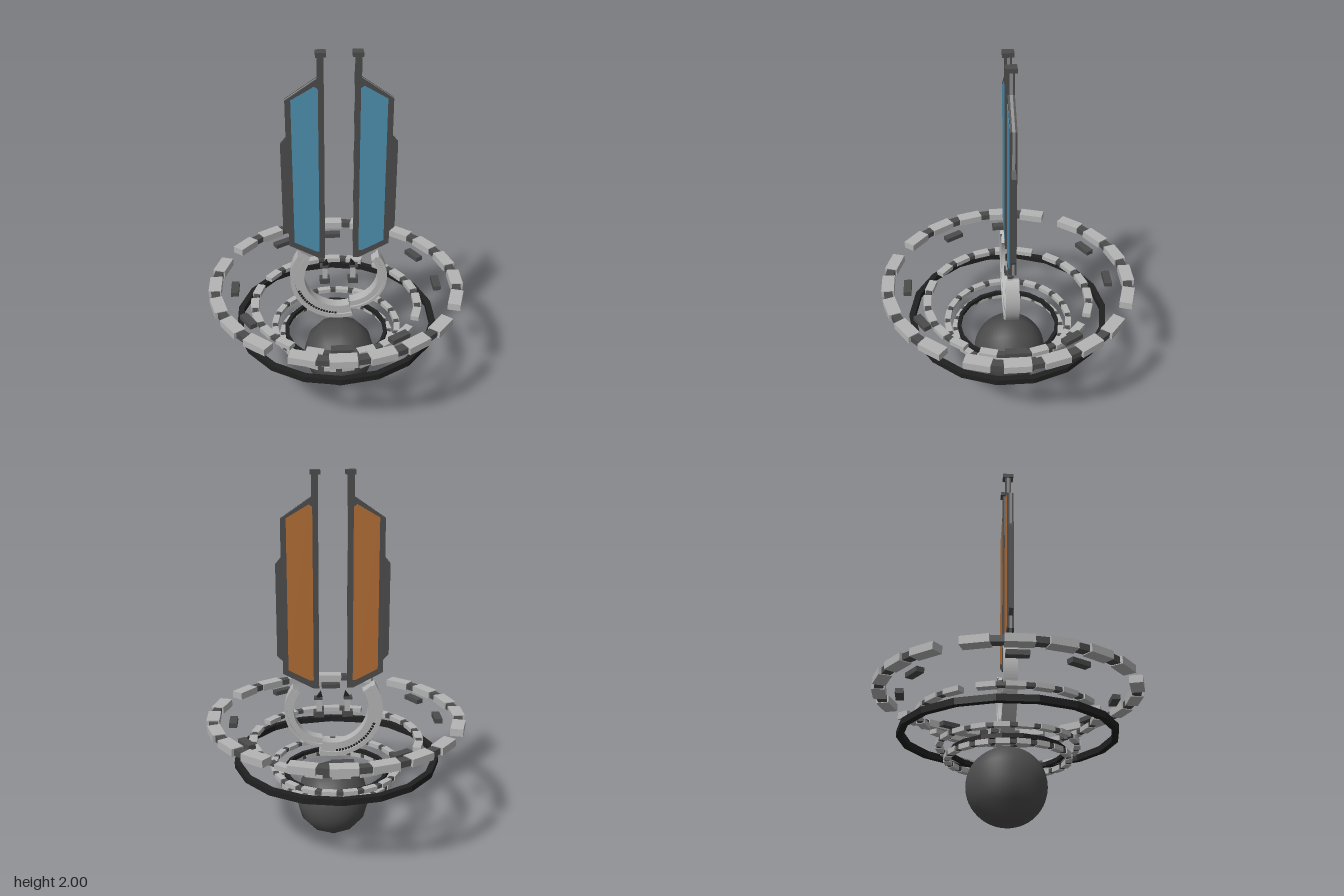
import * as THREE from 'three';
import { toCreasedNormals } from 'three/addons/utils/BufferGeometryUtils.js';

const mat = (name, color) => {
  const m = new THREE.MeshStandardMaterial({ color });
  m.name = name;
  return m;
};

export function createModel() {
  const light = mat('lightGrey', 0xb4b4b4);
  const mid = mat('midGrey', 0x8c8c8c);
  const dark = mat('darkGrey', 0x4b4b4b);
  const black = mat('black', 0x202020);
  const blue = mat('blue', 0x4c8fae);
  const orange = mat('orange', 0xb06c34);

  const model = new THREE.Group();
  model.name = 'ringedStation';
  const CX = 0.016, CZ = -0.006; // axis of the core, arc and panels

  const add = (parent, name, geo, material, x = 0, y = 0, z = 0) => {
    const mesh = new THREE.Mesh(geo, material);
    mesh.name = name;
    mesh.position.set(x, y, z);
    parent.add(mesh);
    return mesh;
  };
  const box = (w, h, d) => new THREE.BoxGeometry(w, h, d);
  const shapeOf = (pts, side = 1) =>
    new THREE.Shape(pts.map(([x, y]) => new THREE.Vector2(x * side, y)));
  // flat slab between two depths
  const slab = (parent, name, shape, z0, z1, material) =>
    add(parent, name, new THREE.ExtrudeGeometry(shape,
      { depth: z1 - z0, bevelEnabled: false, curveSegments: 20 }), material, 0, 0, z0);

  // Core sphere, coarse around its z axis
  const core = new THREE.SphereGeometry(0.203, 12, 28);
  core.rotateX(Math.PI / 2);
  add(model, 'coreSphere', core, dark, CX + 0.003, 0.205, CZ);

  // Plain black hoops
  const hoop = (name, rIn, rOut, y0, y1) => {
    const p = [[rIn, y0], [rOut, y0], [rOut, y1], [rIn, y1], [rIn, y0]]
      .map(([x, y]) => new THREE.Vector2(x, y));
    add(model, name, toCreasedNormals(new THREE.LatheGeometry(p, 18), 0.2), black);
  };
  hoop('largeHoop', 0.527, 0.56, 0.442, 0.475);
  hoop('smallHoop', 0.272, 0.292, 0.36, 0.382);

  // Block placed on a circle, angle measured from the back
  const onCircle = (parent, name, deg, r, y, size, material) => {
    const a = THREE.MathUtils.degToRad(deg);
    add(parent, name, box(...size), material, -Math.sin(a) * r, y, -Math.cos(a) * r)
      .rotation.y = a;
  };

  // Broken rings: four chains of five blocks joined by dark links
  const brokenRing = (name, r, y, block, link) => {
    const g = new THREE.Group();
    g.name = name;
    model.add(g);
    for (let q = 0; q < 4; q++) {
      for (let i = -1; i < 4; i++) {
        const deg = q * 90 + i * 17;
        onCircle(g, 'ringBlock', deg, r, y, block, light);
        if (i < 3) onCircle(g, 'ringLink', deg + 8.5, r, y, link, dark);
      }
    }
  };
  brokenRing('outerBrokenRing', 0.66, 0.686, [0.138, 0.04, 0.068], [0.075, 0.032, 0.046]);
  brokenRing('middleBrokenRing', 0.452, 0.558, [0.093, 0.026, 0.045], [0.054, 0.02, 0.032]);

  // Loose tabs inside the outer ring
  for (let q = 0; q < 4; q++) {
    for (const a of [0, 32]) {
      onCircle(model, 'floatingTab', q * 90 + a, 0.555, 0.668, [0.11, 0.026, 0.042], dark);
    }
  }

  // Closed chains near the sphere
  const chainRing = (name, r, y, h, w) => {
    const g = new THREE.Group();
    g.name = name;
    model.add(g);
    const step = 2 * Math.PI * r / 20;
    for (let i = 0; i < 20; i++) {
      onCircle(g, 'chainBlock', i * 18 + 9, r, y, [step * 0.7, h, w], light);
      onCircle(g, 'chainLink', i * 18, r, y, [step * 0.4, h * 0.8, w * 0.75], dark);
    }
  };
  chainRing('upperChain', 0.345, 0.403, 0.024, 0.034);
  chainRing('lowerChain', 0.303, 0.336, 0.026, 0.034);

  const tower = new THREE.Group();
  tower.name = 'tower';
  tower.position.set(CX, 0, CZ);
  model.add(tower);

  // Open arc: a broad left sweep and a slimmer right sweep, grooved on both faces
  const arc = (x, y, rIn, rOut, from, to) => {
    const a = THREE.MathUtils.degToRad(from), b = THREE.MathUtils.degToRad(to);
    const s = new THREE.Shape();
    s.absarc(x, y, rOut, a, b, false);
    s.absarc(x, y, rIn, b, a, true);
    return s;
  };
  const sweep = (name, x, rIn, rOut, from, to) => {
    const w = rOut - rIn, y = 0.738;
    slab(tower, name + 'Core', arc(x, y, rIn, rOut, from, to), -0.026, 0.026, light);
    slab(tower, name + 'InnerRim', arc(x, y, rIn, rIn + w * 0.5, from, to), -0.031, 0.031, light);
    slab(tower, name + 'OuterRim', arc(x, y, rOut - w * 0.3, rOut, from, to), -0.036, 0.036, light);
  };
  sweep('broadArc', 0, 0.19, 0.267, 147, 287);
  sweep('slimArc', 0.054, 0.16, 0.209, 272, 400);

  // Dark teeth in the groove of the broad sweep
  for (let a = 200; a < 266; a += 4) {
    slab(tower, 'grooveTooth', arc(0, 0.738, 0.229, 0.243, a, a + 2.6), -0.029, 0.029, black);
  }

  // Panels, mirrored left and right
  const frame = [[0.075, 0.86], [0.105, 0.86], [0.266, 0.945], [0.266, 1.762],
    [0.108, 1.87], [0.108, 1.98], [0.075, 1.98]];
  const fin = [[0.262, 1.01], [0.295, 1.043], [0.295, 1.53], [0.262, 1.57]];
  const pane = [[0.104, 0.905], [0.122, 0.905], [0.237, 0.965], [0.237, 1.765],
    [0.122, 1.832], [0.104, 1.82]];
  for (const side of [1, -1]) {
    const wing = new THREE.Group();
    wing.name = side > 0 ? 'leftPanel' : 'rightPanel';
    tower.add(wing);
    const f = shapeOf(frame, side);
    slab(wing, 'frameFront', f, 0.007, 0.017, dark);
    slab(wing, 'frameCore', f, -0.007, 0.007, mid);
    slab(wing, 'frameBack', f, -0.017, -0.007, dark);
    slab(wing, 'edgeFin', shapeOf(fin, side), -0.011, 0.011, dark);
    slab(wing, 'frontPane', shapeOf(pane, side), 0.016, 0.019, blue);
    slab(wing, 'backPane', shapeOf(pane, side), -0.019, -0.016, orange);
    add(wing, 'mastCap', box(0.052, 0.022, 0.058), dark, side * 0.089, 1.989);

    // Small stand below the mast
    add(wing, 'standFoot', box(0.055, 0.03, 0.045), dark, side * 0.078, 0.71);
    add(wing, 'standPost', box(0.028, 0.08, 0.026), light, side * 0.076, 0.755);
    add(wing, 'standCollar', box(0.045, 0.014, 0.034), dark, side * 0.08, 0.8);
    slab(wing, 'standTip', shapeOf([[0.058, 0.805], [0.09, 0.805], [0.066, 0.838]], side),
      -0.012, 0.012, black);
  }
  return model;
}
